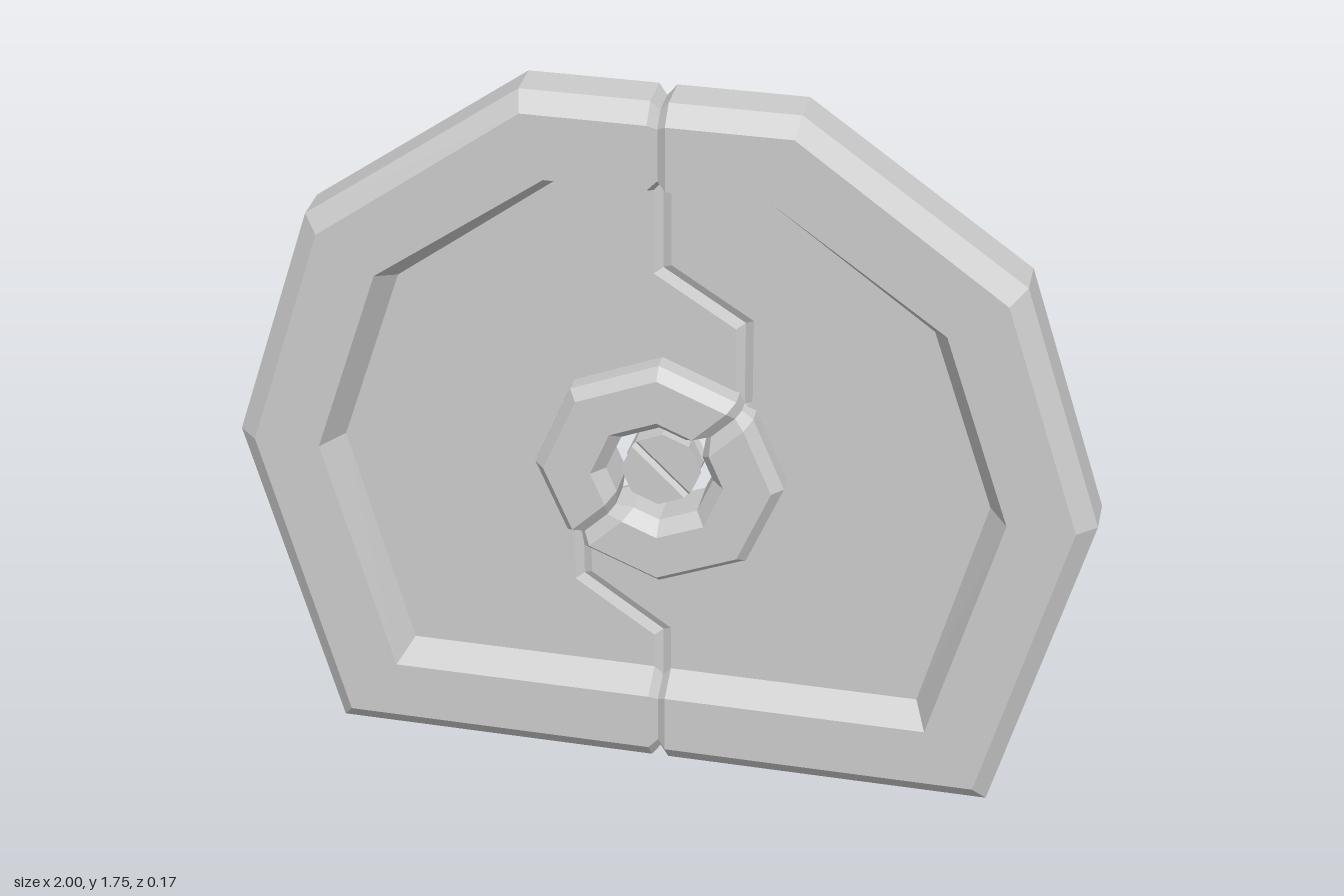
import * as THREE from 'three';

const HUB_Y = 0.81;
const PANEL_Z = 0.015;
const MATERIAL = new THREE.MeshStandardMaterial({ color: 0xcccccc, flatShading: true, side: THREE.DoubleSide });

// Skins equal-length loops of points; `section` is the 2D shape used to cap the two ends.
function loft(name, loops, section) {
  const n = section.length, last = (loops.length - 1) * n, index = [];
  for (let i = 0; i < loops.length - 1; i++) {
    for (let j = 0; j < n; j++) {
      const a = i * n + j, b = i * n + (j + 1) % n;
      index.push(a, b, b + n, a, b + n, a + n);
    }
  }
  const contour = section.map(([x, y]) => new THREE.Vector2(x, y));
  for (const [a, b, c] of THREE.ShapeUtils.triangulateShape(contour, [])) {
    index.push(a, c, b, last + a, last + b, last + c);
  }
  const indexed = new THREE.BufferGeometry();
  indexed.setAttribute('position', new THREE.Float32BufferAttribute(loops.flat(2), 3));
  indexed.setIndex(index);
  const geometry = indexed.toNonIndexed();
  geometry.computeVertexNormals();
  const mesh = new THREE.Mesh(geometry, MATERIAL);
  mesh.name = name;
  return mesh;
}

// Nested outlines of the frame, top to bottom along the +x side
const OUTER = [[0.31, 1.75], [0.81, 1.39], [1, 0.8], [0.79, 0]];
const BEVEL = [[0.30, 1.71], [0.775, 1.36], [0.955, 0.8], [0.76, 0.05]];
const RIM = [[0.25, 1.555], [0.645, 1.27], [0.8, 0.8], [0.64, 0.2]];
const INNER = [[0.24, 1.52], [0.61, 1.24], [0.755, 0.8], [0.61, 0.24]];
const FRAME_PROFILE = [[OUTER, -0.045], [OUTER, 0.045], [BEVEL, 0.085], [RIM, 0.085],
  [INNER, PANEL_Z], [INNER, -PANEL_Z], [RIM, -0.085], [BEVEL, -0.085]];

// Half of the heavy frame, with chamfered ends where it meets the other half
function frameHalf(side) {
  const corner = (i) => FRAME_PROFILE.map(([line, z]) => [side * line[i][0], line[i][1], z]);
  const end = (i, x, scale) => {
    const mid = (OUTER[i][1] + INNER[i][1]) / 2;
    return FRAME_PROFILE.map(([line, z]) => [side * x, mid + (line[i][1] - mid) * scale, z * scale]);
  };
  const loops = [end(0, 0, 0.8), end(0, 0.02, 1), ...[0, 1, 2, 3].map(corner), end(3, 0.02, 1), end(3, 0, 0.8)];
  if (side < 0) loops.reverse();
  const section = FRAME_PROFILE.map(([line, z]) => [line[0][1], z]);
  return loft(side > 0 ? 'leftFrame' : 'rightFrame', loops, section);
}

// Thin recessed panel half, cut along the zigzag seam and around the hub
function panelHalf(side) {
  const points = RIM.map(([x, y]) => [side * x, y, 0]).reverse();
  const seam = [[0, 1.555], [0, 1.325], [0.187, 1.205], [0.187, 0.995]];
  for (let i = 0; i <= 4; i++) {
    const a = (1 - side * i) * Math.PI / 4;
    seam.push([0.2 * Math.cos(a), HUB_Y + 0.2 * Math.sin(a)]);
  }
  seam.push([-0.19, 0.625], [-0.19, 0.48], [0, 0.345], [0, 0.2]);
  for (const [x, y] of seam) points.push([x, y, 1]);
  if (side < 0) points.reverse();
  const loop = (z, shift) => points.map(([x, y, onSeam]) =>
    [x + onSeam * side * shift * 0.02, y + onSeam * side * shift * 0.013, z]);
  const loops = [loop(-PANEL_Z, 1), loop(-0.004, 0), loop(0.004, 0), loop(PANEL_Z, 1)];
  return loft(side > 0 ? 'leftPanel' : 'rightPanel', loops, points);
}

// Half of the octagonal hub ring, split on the diagonal
function hubHalf(name) {
  const profile = [[0.29, -0.055], [0.29, 0.055], [0.265, 0.083], [0.155, 0.083],
    [0.125, 0.05], [0.125, -0.05], [0.155, -0.083], [0.265, -0.083]];
  const n = Math.SQRT1_2;
  const at = (a, push, scale) => profile.map(([r, z]) => {
    const radius = 0.2075 + (r - 0.2075) * scale - push * 0.414;
    return [radius * Math.cos(a) + n * push, radius * Math.sin(a) - n * push, z * scale];
  });
  const start = Math.PI / 4, stop = -3 * Math.PI / 4;
  const loops = [at(start, 0, 0.7), at(start, 0.028, 1)];
  for (let i = 1; i < 4; i++) loops.push(at(start - i * Math.PI / 4, 0, 1));
  loops.push(at(stop, 0.028, 1), at(stop, 0, 0.7));
  return loft(name, loops, profile);
}

// Half of the small central plug, with a chamfered slot along the other diagonal
function plugHalf(name) {
  const points = [];
  for (let i = 0; i <= 4; i++) {
    const a = (i - 1) * Math.PI / 4;
    points.push([0.09 * Math.cos(a), 0.09 * Math.sin(a)]);
  }
  const loop = (z, push) => points.map(([x, y]) => [x * 0.97 + push, y * 0.97 + push, z]);
  const loops = [loop(-0.033, 0.007), loop(-0.023, 0), loop(0.023, 0), loop(0.033, 0.007)];
  return loft(name, loops, points);
}

export function createModel() {
  const model = new THREE.Group();
  model.name = 'splitDoor';
  for (const side of [1, -1]) model.add(frameHalf(side), panelHalf(side));

  // Hub and plug halves repeat by a half turn
  const hub = new THREE.Group();
  hub.name = 'hub';
  hub.position.y = HUB_Y;
  for (const [side, turn] of [['left', 0], ['right', Math.PI]]) {
    const ring = hubHalf(side + 'HubRing');
    const plug = plugHalf(side + 'Plug');
    ring.rotation.z = plug.rotation.z = turn;
    hub.add(ring, plug);
  }
  model.add(hub);
  return model;
}
